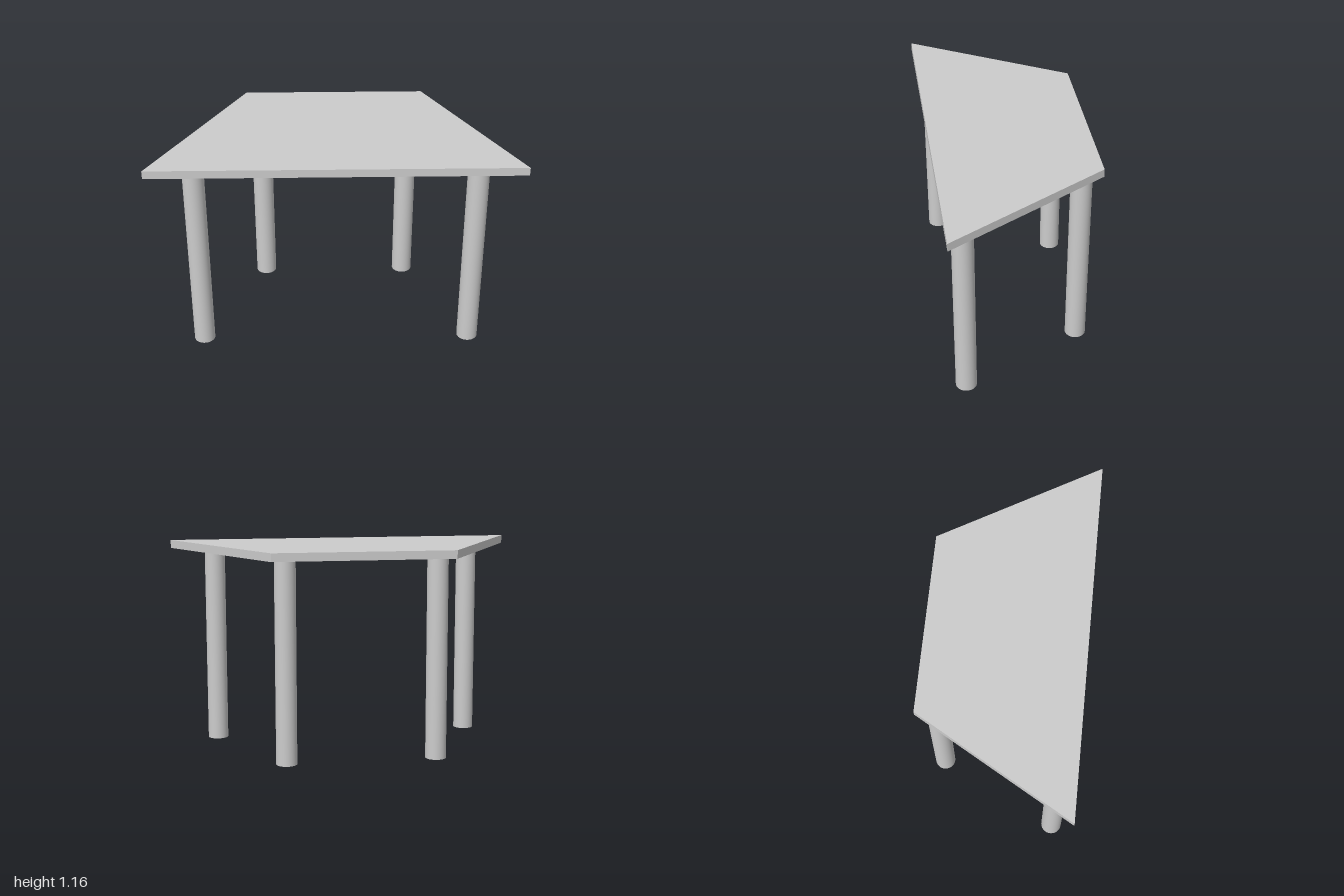
import * as THREE from 'three';

const TOP = 1.165, UNDER = 1.119, HALF_DEPTH = 0.433, LEG_RADIUS = 0.058;

export function createModel() {
  const group = new THREE.Group();
  const material = new THREE.MeshStandardMaterial({ color: 0xcccccc });

  // Trapezoid tabletop: wide edge at the front, narrow edge at the back
  const outline = new THREE.Shape([
    new THREE.Vector2(-1, -HALF_DEPTH),
    new THREE.Vector2(1, -HALF_DEPTH),
    new THREE.Vector2(0.5, HALF_DEPTH),
    new THREE.Vector2(-0.5, HALF_DEPTH),
  ]);
  const slab = new THREE.ExtrudeGeometry(outline, { depth: TOP - UNDER, bevelEnabled: false });
  slab.rotateX(-Math.PI / 2);
  const tabletop = new THREE.Mesh(slab, material);
  tabletop.name = 'tabletop';
  tabletop.position.y = UNDER;
  group.add(tabletop);

  // Four round legs, mirrored in x
  const legGeometry = new THREE.CylinderGeometry(LEG_RADIUS, LEG_RADIUS, UNDER, 48);
  for (const [end, x, z] of [['front', 0.75, 0.335], ['back', 0.417, -0.333]]) {
    for (const [side, sign] of [['Left', 1], ['Right', -1]]) {
      const leg = new THREE.Mesh(legGeometry, material);
      leg.name = `${end}${side}Leg`;
      leg.position.set(sign * x, UNDER / 2, z);
      group.add(leg);
    }
  }
  return group;
}
